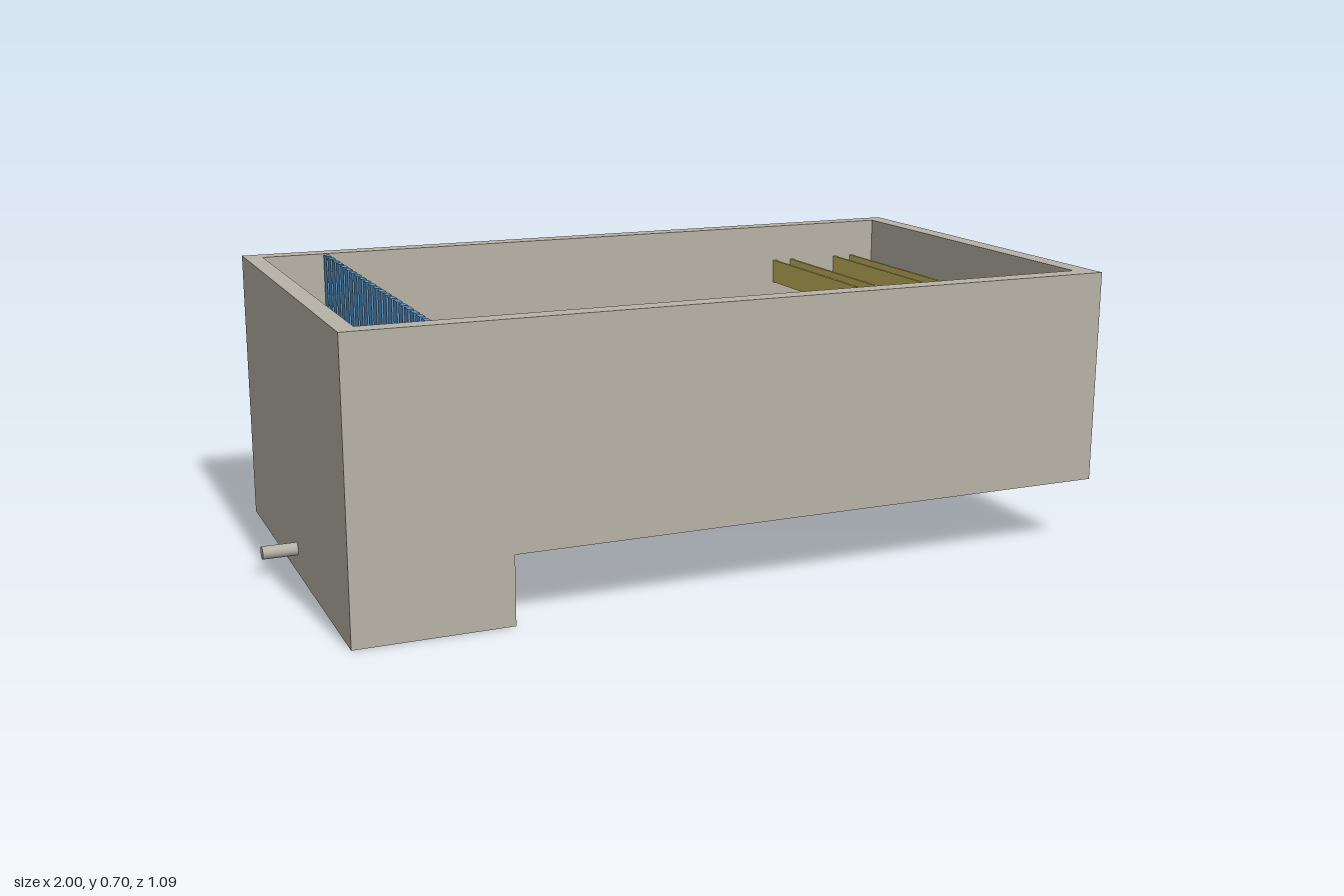
import * as THREE from 'three';

export function createModel() {
  const root = new THREE.Group();
  root.name = 'settlingTank';
  const mat = (name, color) => {
    const m = new THREE.MeshStandardMaterial({ color });
    m.name = name;
    return m;
  };
  const concrete = mat('concrete', 0xb8b2a7);
  const pipeGrey = mat('pipe grey', 0xb4b0a8);
  const blue = mat('baffle blue', 0x5a92c0);
  const ochre = mat('channel ochre', 0xc8b860);

  const add = (name, geometry, material, parent = root) => {
    const mesh = new THREE.Mesh(geometry, material);
    mesh.name = name;
    parent.add(mesh);
    return mesh;
  };
  // Box given by its minimum and maximum on each axis
  const box = (name, [x0, x1], [y0, y1], [z0, z1], material, parent) =>
    add(name, new THREE.BoxGeometry(x1 - x0, y1 - y0, z1 - z0), material, parent)
      .position.set((x0 + x1) / 2, (y0 + y1) / 2, (z0 + z1) / 2);
  // Flat-shaded faces from four-corner loops
  const quads = (loops) => {
    const g = new THREE.BufferGeometry();
    const p = loops.flatMap(([a, b, c, d]) => [a, b, c, a, c, d].flat());
    g.setAttribute('position', new THREE.Float32BufferAttribute(p, 3));
    g.computeVertexNormals();
    return g;
  };
  // Horizontal rectangle, counter-clockwise seen from above
  const rect = (x0, x1, y, z) => [[x0, y, -z], [x0, y, z], [x1, y, z], [x1, y, -z]];

  const X0 = -0.915, X1 = 1, Z = 0.545, TOP = 0.7;  // outside of the tank
  const IX0 = -0.87, IX1 = 0.95, IZ = 0.495;        // inside of the tank
  const STEP = -0.54, UNDER = 0.168, FLOOR = 0.215;

  // Long walls with the deeper sump end
  const profile = new THREE.Shape([
    [X0, 0], [STEP, 0], [STEP, UNDER], [X1, UNDER], [X1, TOP], [X0, TOP],
  ].map(([x, y]) => new THREE.Vector2(x, y)));
  const side = new THREE.ExtrudeGeometry(profile, { depth: Z - IZ, bevelEnabled: false });
  add('frontWall', side, concrete).position.z = IZ;
  add('backWall', side, concrete).position.z = -Z;

  // End walls and floor
  box('inletWall', [X0, IX0], [0, TOP], [-IZ, IZ], concrete);
  box('outletWall', [IX1, X1], [UNDER, TOP], [-IZ, IZ], concrete);
  box('floorSlab', [STEP, IX1], [UNDER, FLOOR], [-IZ, IZ], concrete);

  // Sludge hopper: four slopes down to a small flat bottom
  const upper = rect(IX0, STEP, FLOOR, IZ);
  const lower = rect(-0.75, -0.655, 0.04, 0.05);
  const slopes = upper.map((p, i) => {
    const j = (i + 1) % 4;
    return [p, upper[j], lower[j], lower[i]];
  });
  add('hopper', quads([...slopes, lower]), concrete);

  // Outside of the sump: underside and step face
  add('sumpShell', quads([
    rect(IX0, STEP, 0, IZ).reverse(),
    [[STEP, 0, IZ], [STEP, 0, -IZ], [STEP, UNDER, -IZ], [STEP, UNDER, IZ]],
  ]), concrete);

  // Sludge pipe through the inlet wall
  const pipe = add('sludgePipe', new THREE.CylinderGeometry(0.016, 0.016, 0.295, 24), pipeGrey);
  pipe.rotation.z = Math.PI / 2;
  pipe.position.set(-0.8525, 0.062, 0);

  // Slatted baffle
  const baffle = new THREE.Group();
  baffle.name = 'slattedBaffle';
  root.add(baffle);
  const slats = 21, pitch = 2 * IZ / slats;
  for (let i = 0; i < slats; i++) {
    const z = -IZ + (i + 0.5) * pitch;
    box('slat', [-0.712, -0.698], [0.275, TOP - 0.002], [z - 0.016, z + 0.016], blue, baffle);
  }

  // U-shaped collecting channels
  for (const x of [0.62, 0.82]) {
    const channel = new THREE.Group();
    channel.name = 'collectingChannel';
    root.add(channel);
    const w = 0.064, t = 0.008, y0 = 0.535, y1 = 0.6;
    box('channelBottom', [x + t, x + w - t], [y0, y0 + t], [-IZ, IZ], ochre, channel);
    box('channelSide', [x, x + t], [y0, y1], [-IZ, IZ], ochre, channel);
    box('channelSide', [x + w - t, x + w], [y0, y1], [-IZ, IZ], ochre, channel);
  }

  return root;
}
